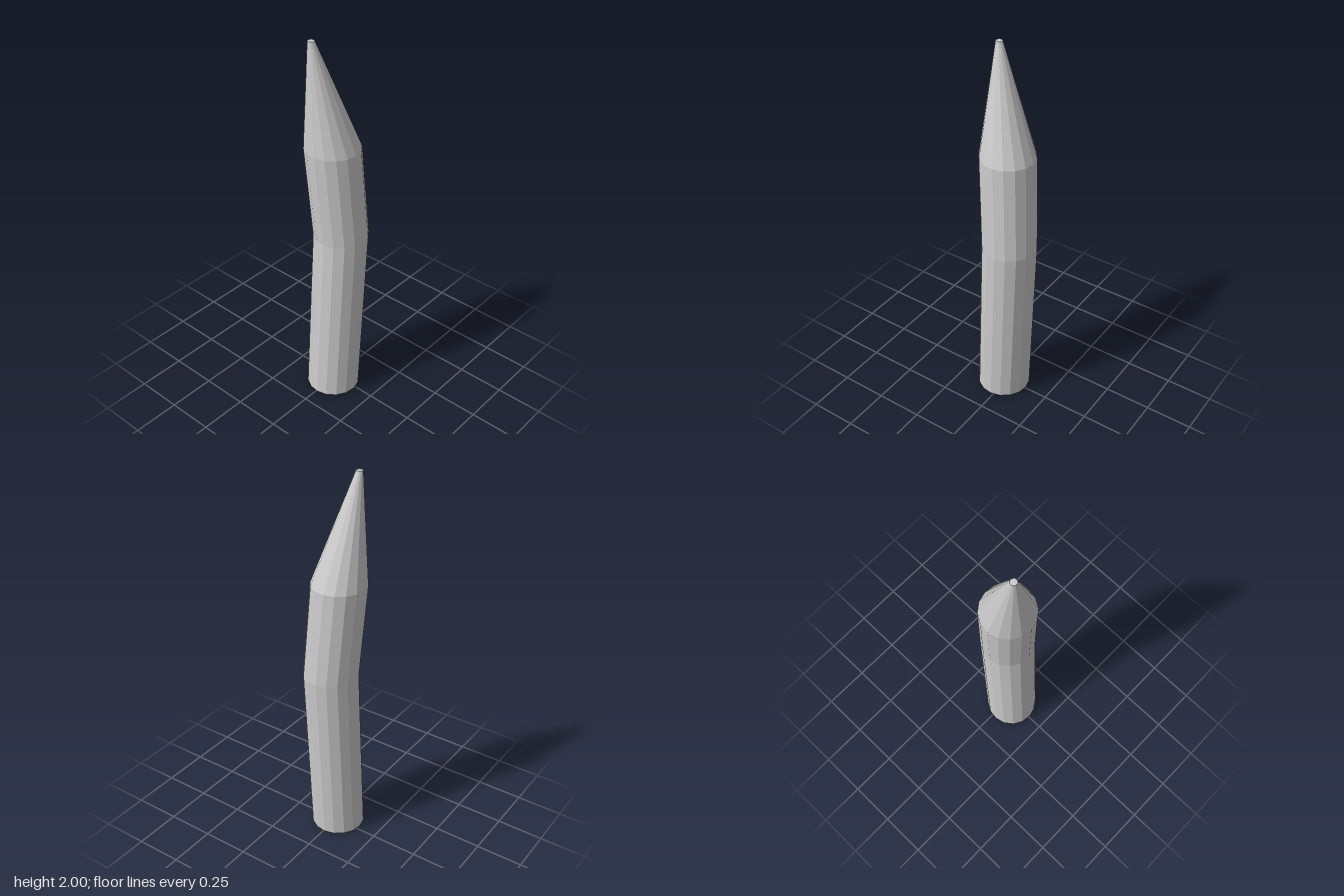
import * as THREE from 'three';

const SIDES = 16;
const TURN = -0.05; // slight twist of the facets about the axis

// Cross-sections from base to tip: centre x, y, z and radius
const RINGS = [
  [-0.023, 0, 0, 0.141],
  [0.021, 0.955, 0.015, 0.141],
  [-0.008, 1.45, -0.014, 0.141],
  [-0.092, 2, -0.067, 0.017],
];

// Skin between two cross-sections, open at both ends
function segment(name, [x0, y0, z0, r0], [x1, y1, z1, r1], material) {
  const point = (x, y, z, r, i) => {
    const a = TURN + ((i % SIDES) / SIDES) * Math.PI * 2;
    return [x + r * Math.cos(a), y, z + r * Math.sin(a)];
  };
  const positions = [];
  for (let i = 0; i < SIDES; i++) {
    const a = point(x0, y0, z0, r0, i);
    const b = point(x0, y0, z0, r0, i + 1);
    const c = point(x1, y1, z1, r1, i + 1);
    const d = point(x1, y1, z1, r1, i);
    positions.push(...a, ...d, ...c, ...a, ...c, ...b);
  }
  const geometry = new THREE.BufferGeometry();
  geometry.setAttribute('position', new THREE.Float32BufferAttribute(positions, 3));
  geometry.computeVertexNormals();
  const mesh = new THREE.Mesh(geometry, material);
  mesh.name = name;
  return mesh;
}

export function createModel() {
  const group = new THREE.Group();
  group.name = 'bentStake';
  const material = new THREE.MeshStandardMaterial({
    color: 0xcccccc,
    flatShading: true,
    side: THREE.DoubleSide,
  });

  // Bent shaft and tapered point; the base is left open
  ['lowerShaft', 'upperShaft', 'point'].forEach((name, i) => {
    group.add(segment(name, RINGS[i], RINGS[i + 1], material));
  });

  // Small flat cap closing the tip
  const [x, y, z, r] = RINGS[3];
  const cap = new THREE.Mesh(new THREE.CircleGeometry(r, SIDES, -TURN), material);
  cap.name = 'tipCap';
  cap.rotation.x = -Math.PI / 2;
  cap.position.set(x, y, z);
  group.add(cap);

  return group;
}
